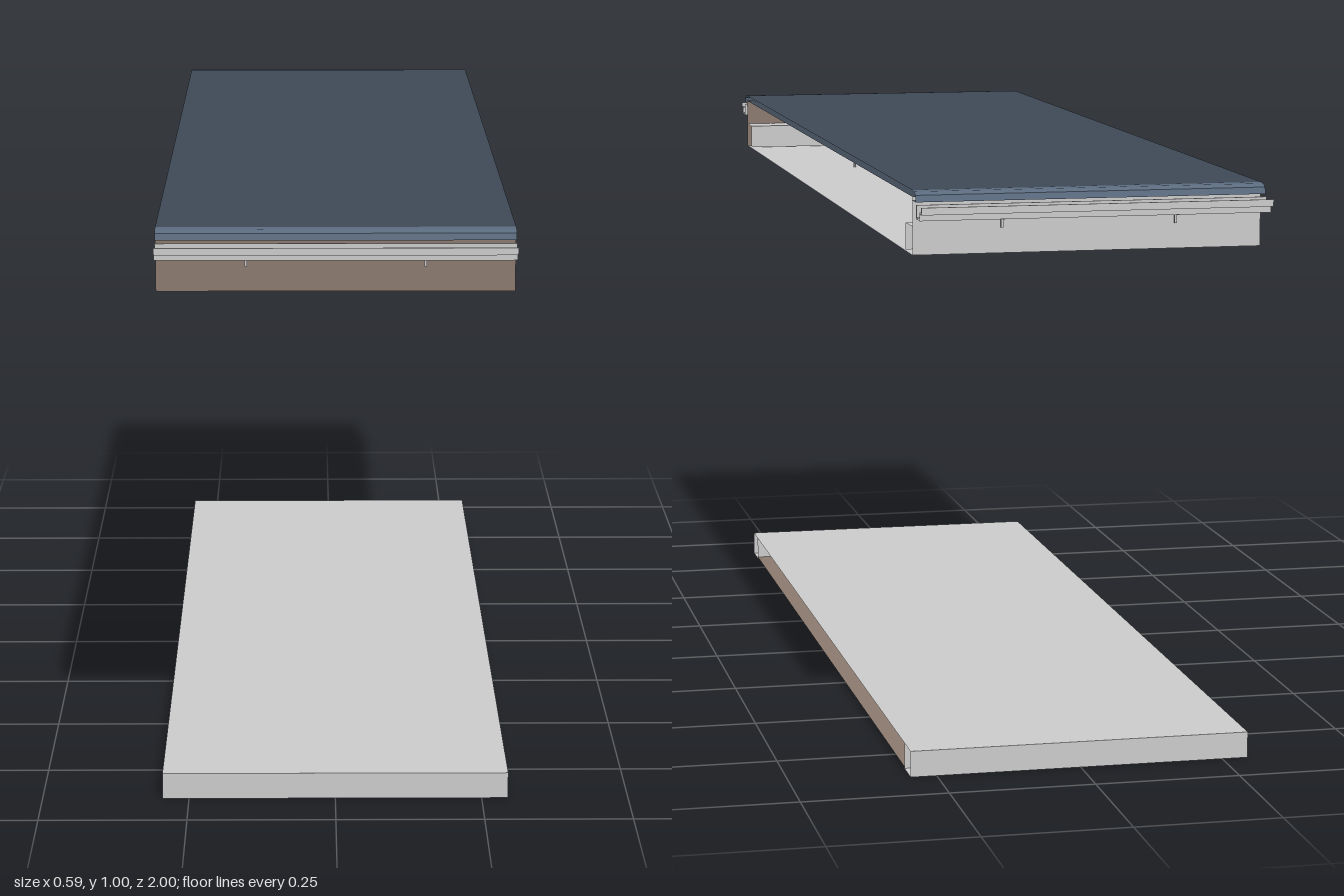
import * as THREE from 'three';

const HALF = 0.295; // half the width along x

const paint = (color) => new THREE.MeshStandardMaterial({ color, flatShading: true, side: THREE.DoubleSide });
const grey = paint(0xcccccc);
const slate = paint(0x3f4956);
const blue = paint(0x5a6a7d);
const brown = paint(0x8b7a6e);

// Sweeps a [z, y] profile across the width, leaving both ends open
function sweep(name, profile, material, closed = false) {
  const pts = closed ? [...profile, profile[0]] : profile;
  const pos = [];
  for (let i = 0; i + 1 < pts.length; i++) {
    const [z0, y0] = pts[i];
    const [z1, y1] = pts[i + 1];
    pos.push(-HALF, y0, z0, HALF, y0, z0, HALF, y1, z1);
    pos.push(-HALF, y0, z0, HALF, y1, z1, -HALF, y1, z1);
  }
  const geo = new THREE.BufferGeometry();
  geo.setAttribute('position', new THREE.Float32BufferAttribute(pos, 3));
  geo.computeVertexNormals();
  const mesh = new THREE.Mesh(geo, material);
  mesh.name = name;
  return mesh;
}

function box(name, size, at) {
  const mesh = new THREE.Mesh(new THREE.BoxGeometry(...size), grey);
  mesh.position.set(...at);
  mesh.name = name;
  return mesh;
}

function createFloor() {
  const g = new THREE.Group();
  g.name = 'floor';
  g.add(sweep('floorDeck', [[0.895, 0.045], [-0.895, 0.045]], grey));
  g.add(sweep('floorUnderside', [[-0.84, 0.003], [0.84, 0.003]], brown));
  for (const s of [1, -1]) {
    // square edge beam: outer wall, lip and inner wall
    g.add(sweep('floorEdgeBeam', [[s * 0.895, 0.045], [s * 0.895, 0], [s * 0.84, 0], [s * 0.84, 0.045]], grey));
  }
  return g;
}

function createRoof() {
  const g = new THREE.Group();
  g.name = 'roof';
  g.add(sweep('roofSkin', [[0.925, 0.997], [-0.925, 0.997]], slate));
  g.add(sweep('roofLining', [[-0.92, 0.986], [0.92, 0.986]], slate));
  g.add(sweep('ceiling', [[-0.925, 0.89], [0.925, 0.89]], grey));

  for (const s of [1, -1]) {
    const mirror = (pts) => pts.map(([z, y]) => [s * z, y]);
    // end wall, brown at the front only
    g.add(sweep('endWall', mirror([[0.925, 0.89], [0.925, 0.986]]), s > 0 ? brown : grey));
    // stacked beams behind the end wall
    g.add(sweep('endBeam', mirror([[0.92, 0.937], [0.865, 0.937], [0.865, 0.892]]), grey));
    // rounded eave
    g.add(sweep('eave', mirror([[0.925, 0.997], [0.94, 0.996], [0.95, 0.991], [0.954, 0.98], [0.92, 0.98]]), blue));
    // stepped gutter channel
    g.add(sweep('gutter', mirror([
      [0.957, 0.976], [0.957, 0.953], [0.986, 0.953], [0.986, 0.964], [1, 0.964], [1, 0.976],
      [0.997, 0.976], [0.997, 0.967], [0.983, 0.967], [0.983, 0.956], [0.96, 0.956], [0.96, 0.976],
    ]), grey, true));
    // small hooks that carry the gutter
    for (const x of [-0.147, 0.147]) {
      g.add(box('hookArm', [0.004, 0.004, 0.025], [x, 0.95, s * 0.937]));
      g.add(box('hookDrop', [0.004, 0.018, 0.004], [x, 0.942, s * 0.932]));
    }
  }
  return g;
}

function createLamp(z) {
  const g = new THREE.Group();
  g.name = 'hangingLamp';
  g.add(box('lampBar', [0.34, 0.012, 0.03], [0, 0.844, z]));
  for (const x of [-0.147, 0.147]) {
    const rod = new THREE.Mesh(new THREE.CylinderGeometry(0.0025, 0.0025, 0.05, 8), grey);
    rod.position.set(x, 0.873, z);
    rod.name = 'lampRod';
    g.add(rod);
  }
  return g;
}

export function createModel() {
  const model = new THREE.Group();
  model.name = 'corridorSection';
  model.add(createFloor(), createRoof(), createLamp(0.445), createLamp(-0.445));
  return model;
}
